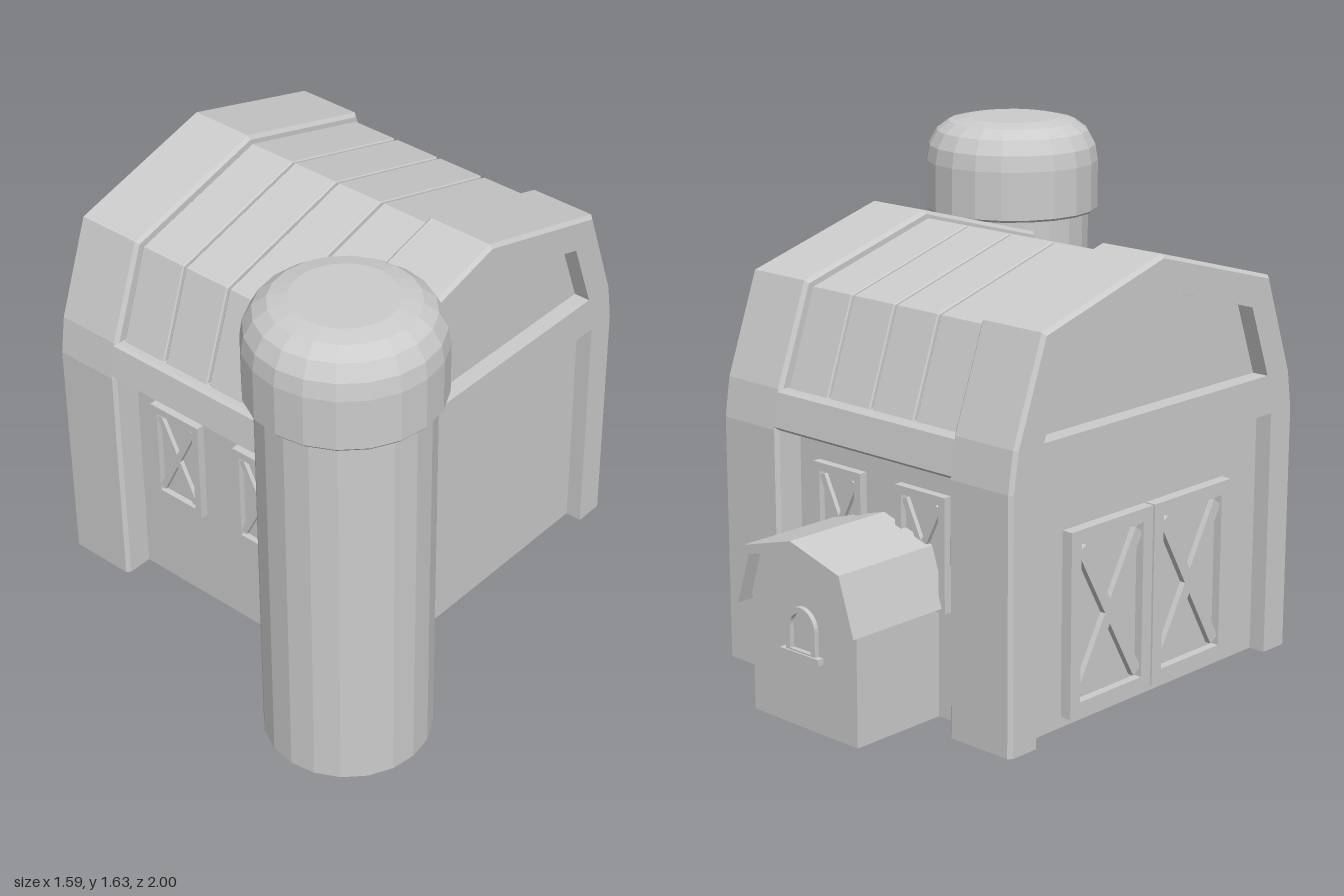
import * as THREE from 'three';

const mat = new THREE.MeshStandardMaterial({ color: 0xcccccc, flatShading: true, side: THREE.DoubleSide });

function add(parent, name, geo, x = 0, y = 0, z = 0) {
  const m = new THREE.Mesh(geo, mat);
  m.name = name;
  m.position.set(x, y, z);
  parent.add(m);
  return m;
}
const box = (w, h, d) => new THREE.BoxGeometry(w, h, d);
const shapeOf = pts => new THREE.Shape(pts.map(p => new THREE.Vector2(p[0], p[1])));
const extrude = (shape, depth) => new THREE.ExtrudeGeometry(shape, { depth, bevelEnabled: false, curveSegments: 8 });

// Half a gambrel (bottom to ridge) completed to the other side
const mirror = half => [...half, ...half.slice(0, -1).reverse().map(([z, y]) => [-z, y])];

// Move an open profile inwards by d, with mitred corners
function inset(pts, d) {
  const normal = (a, b) => {
    const l = Math.hypot(b[0] - a[0], b[1] - a[1]);
    return [(b[1] - a[1]) / l, (a[0] - b[0]) / l];
  };
  return pts.map((p, i) => {
    const n1 = normal(pts[Math.max(i - 1, 0)], pts[Math.max(i, 1)]);
    const last = pts.length - 1;
    const n2 = normal(pts[Math.min(i, last - 1)], pts[Math.min(i + 1, last)]);
    const k = d / (1 + n1[0] * n2[0] + n1[1] * n2[1]);
    return [p[0] - k * (n1[0] + n2[0]), p[1] - k * (n1[1] + n2[1])];
  });
}

// Skin over a gambrel profile; each section is [x, inset]
function arch(profile, sections) {
  const pos = [], idx = [], n = profile.length;
  for (const [x, d] of sections) for (const [z, y] of inset(profile, d)) pos.push(x, Math.max(y, 0), z);
  for (let s = 0; s < sections.length - 1; s++) {
    for (let p = 0; p < n - 1; p++) {
      const a = s * n + p, b = a + n;
      idx.push(a, b, a + 1, b, b + 1, a + 1);
    }
  }
  const g = new THREE.BufferGeometry();
  g.setAttribute('position', new THREE.Float32BufferAttribute(pos, 3));
  g.setIndex(idx);
  g.computeVertexNormals();
  return g;
}

// Framed panel with crossed braces, facing +z, back at z = 0
function crossedPanel(name, w, h, border, bar, depth) {
  const g = new THREE.Group();
  g.name = name;
  const rect = (a, b) => [[-a, -b], [a, -b], [a, b], [-a, b]];
  const frame = shapeOf(rect(w / 2, h / 2));
  const iw = w - 2 * border, ih = h - 2 * border;
  frame.holes.push(shapeOf(rect(iw / 2, ih / 2)));
  add(g, 'panelFrame', extrude(frame, depth));
  add(g, 'panelBack', box(iw, ih, depth * 0.3), 0, 0, depth * 0.15);
  const angle = Math.atan2(ih, iw), len = Math.hypot(iw, ih) - bar * 1.2;
  for (const s of [-1, 1]) {
    add(g, 'brace', box(len, bar, depth * 0.8), 0, 0, depth * 0.4).rotation.z = s * angle;
  }
  return g;
}

function createBarn() {
  const barn = new THREE.Group();
  barn.name = 'barn';
  const L = 0.63, IN = 0.375, WALL = 0.575, B = 0.012;
  const outer = mirror([[0.675, 0], [0.675, 0.82], [0.655, 0.95], [0.535, 1.28], [0, 1.43]]);
  const roof = mirror([[0.635, 0.92], [0.515, 1.26], [0, 1.405]]);

  // End frame face: posts, cross beam and gable opening
  const notch = [[-0.56, 0], [-0.56, 0.82], [0.56, 0.82], [0.56, 0]];
  const face = shapeOf([...inset(outer, B), ...notch]);
  face.holes.push(shapeOf(mirror([[0.535, 0.95], [0.445, 1.19], [0, 1.32]])));
  const endWall = mirror([[WALL, 0], [WALL, 0.82], [0.62, 0.95], [0.5, 1.25], [0, 1.38]]);

  for (const side of [0, 1]) {
    const end = new THREE.Group();
    end.name = side ? 'doorEnd' : 'plainEnd';
    end.rotation.y = side * Math.PI;
    add(end, 'endArch', arch(outer, [[IN, 0.1], [IN, B], [IN + B, 0], [L - B, 0], [L, B]]));
    add(end, 'endFrame', extrude(face, 0.06), L - 0.06).rotation.y = Math.PI / 2;
    add(end, 'endWall', new THREE.ShapeGeometry(shapeOf(endWall)), L - 0.058).rotation.y = Math.PI / 2;
    if (side) {
      for (const s of [-1, 1]) {
        const door = crossedPanel('door', 0.38, 0.6, 0.045, 0.04, 0.04);
        door.position.set(L - 0.06, 0.335, s * 0.194);
        door.rotation.y = Math.PI / 2;
        end.add(door);
      }
    }
    barn.add(end);
  }

  // Long walls with eave beam and shuttered windows
  const beam = [[0.56, 0.82], [0.665, 0.82], [0.675, 0.83], [0.657, 0.94], [0.645, 0.95], [0.56, 0.95]];
  for (const side of [0, 1]) {
    const wall = new THREE.Group();
    wall.name = side ? 'backSide' : 'frontSide';
    wall.scale.z = side ? -1 : 1;
    add(wall, 'longWall', new THREE.PlaneGeometry(2 * IN, 0.85), 0, 0.425, WALL);
    const b = add(wall, 'eaveBeam', extrude(shapeOf(beam.map(([z, y]) => [-z, y])), 2 * IN + 0.03), -IN - 0.015);
    b.rotation.y = Math.PI / 2;
    for (const x of [-0.185, 0.18]) {
      const win = crossedPanel('window', 0.212, 0.37, 0.027, 0.022, 0.03);
      win.position.set(x, 0.54, WALL - 0.002);
      wall.add(win);
    }
    barn.add(wall);
  }

  // Roof panels over a lower skin that shows in the gaps
  add(barn, 'roofSkin', arch(roof, [[-IN, 0.025], [IN, 0.025]]));
  const w = 2 * IN / 4, gap = 0.005;
  for (let i = 0; i < 4; i++) {
    const a = -IN + i * w + gap, b = a + w - 2 * gap;
    add(barn, 'roofPanel', arch(roof, [[a, 0.025], [a, 0.004], [a + 0.004, 0], [b - 0.004, 0], [b, 0.004], [b, 0.025]]));
  }
  barn.position.set(-0.17, 0, -0.025);
  return barn;
}

function createShed() {
  const shed = new THREE.Group();
  shed.name = 'shed';
  const roof = mirror([[0.27, 0.37], [0.21, 0.555], [0, 0.615]]);
  const under = inset(roof, 0.03);
  add(shed, 'shedRoof', extrude(shapeOf([...roof, ...under.reverse()]), 0.395), 0, 0, -1);

  // Walls left open underneath
  const gable = mirror([[0.23, 0], [0.23, 0.4], [0.19, 0.53], [0, 0.59]]);
  const walls = arch(gable, [[-0.35, 0], [0, 0]]);
  add(shed, 'shedWalls', walls, 0, 0, -0.95).rotation.y = Math.PI / 2;
  add(shed, 'shedGable', new THREE.ShapeGeometry(shapeOf(gable)), 0, 0, -0.95).rotation.y = Math.PI;

  // Arched window with sill
  const archShape = (C, r, bottom) => {
    const s = new C();
    s.moveTo(-r, bottom);
    s.lineTo(r, bottom);
    s.lineTo(r, 0.33);
    s.absarc(0, 0.33, r, 0, Math.PI, false);
    s.closePath();
    return s;
  };
  const frame = archShape(THREE.Shape, 0.065, 0.245);
  frame.holes.push(archShape(THREE.Path, 0.045, 0.255));
  add(shed, 'shedWindow', extrude(frame, 0.02), 0, 0, -0.966);
  add(shed, 'shedSill', box(0.17, 0.02, 0.025), 0, 0.24, -0.96);
  shed.position.x = -0.178;
  return shed;
}

function createSilo() {
  const silo = new THREE.Group();
  silo.name = 'silo';
  const lathe = pts => new THREE.LatheGeometry(pts.map(p => new THREE.Vector2(p[0], p[1])), 20);
  add(silo, 'siloBody', lathe([[0.272, 0], [0.272, 1.32]]));
  add(silo, 'siloCap', lathe([[0.27, 1.305], [0.298, 1.305], [0.305, 1.313], [0.305, 1.48], [0.296, 1.535],
    [0.268, 1.585], [0.225, 1.617], [0.165, 1.63], [0, 1.63]]));
  silo.position.set(0.487, 0, 0.693);
  return silo;
}

export function createModel() {
  const model = new THREE.Group();
  model.name = 'farmBarn';
  model.add(createBarn(), createShed(), createSilo());
  return model;
}
